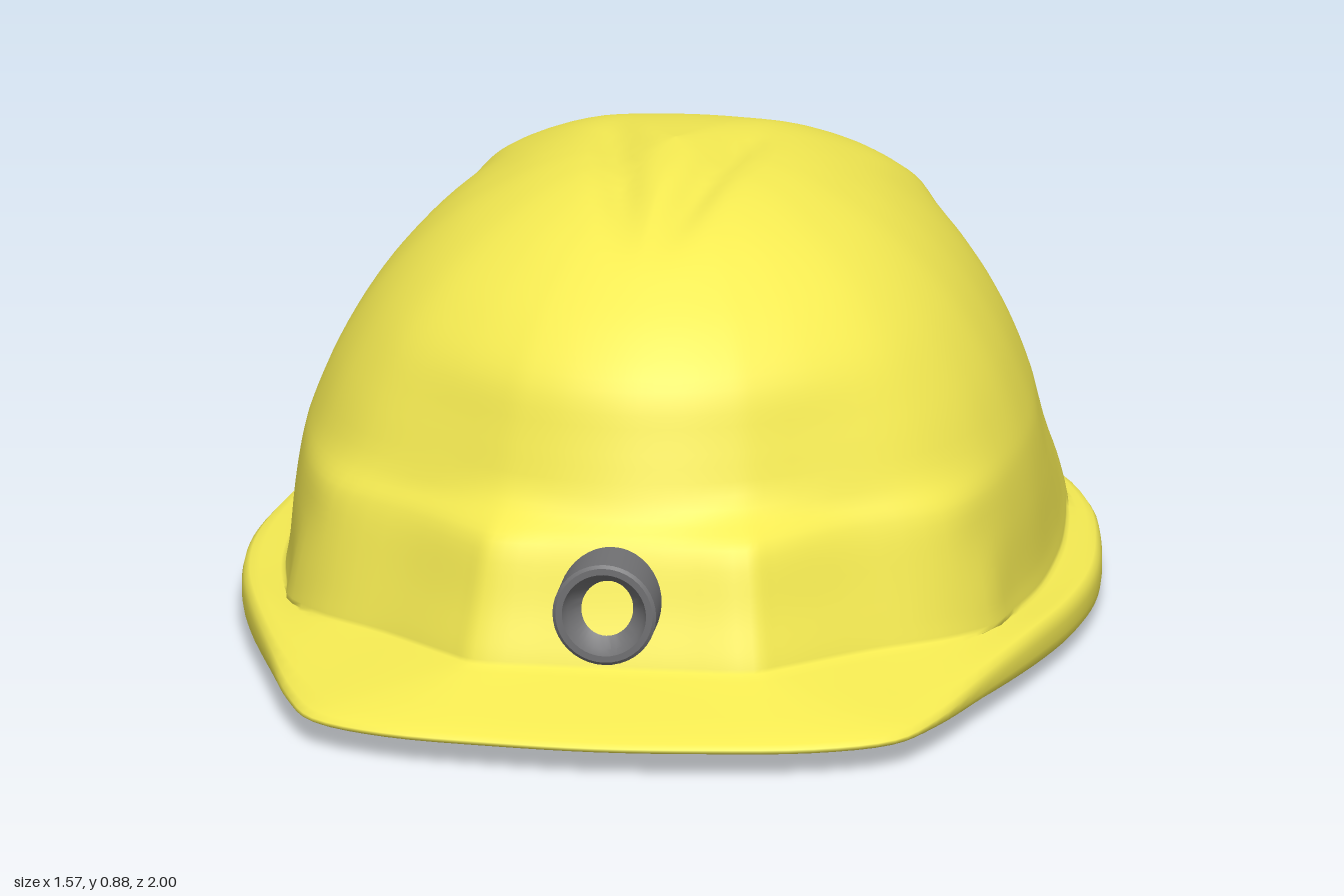
import * as THREE from 'three';
import { toCreasedNormals } from 'three/addons/utils/BufferGeometryUtils.js';

const { lerp, smoothstep } = THREE.MathUtils;
const SEG = 112; // points around each ring
const CZ = -0.15; // z of the crown's centre
const yellow = new THREE.MeshStandardMaterial({ color: 0xf4ea52, side: THREE.DoubleSide });
const grey = new THREE.MeshStandardMaterial({ color: 0x707072, side: THREE.DoubleSide });

// Half outlines [x, z] from the back centre round the left side to the front
const back = [[0, -0.95], [0.22, -0.93], [0.42, -0.885], [0.58, -0.75], [0.665, -0.55], [0.7, -0.3], [0.705, -0.12], [0.695, 0.06]];
const padOutline = [...back, [0.66, 0.25], [0.6, 0.41], [0.45, 0.55], [0.31, 0.69], [0.26, 0.73], [0.13, 0.738], [0, 0.74]];
const crownOutline = [...back, [0.65, 0.25], [0.57, 0.42], [0.43, 0.57], [0.3, 0.66], [0.24, 0.69], [0.13, 0.725], [0, 0.74]];
const brimOutline = [[0, -1], [0.25, -0.985], [0.44, -0.93], [0.61, -0.78], [0.72, -0.55], [0.77, -0.3], [0.785, -0.1],
  [0.77, 0.1], [0.73, 0.3], [0.66, 0.55], [0.6, 0.75], [0.54, 0.87], [0.4, 0.945], [0.2, 0.98], [0, 0.995]];

// Mirror a half outline and sample it as a closed smooth loop
function outline(half) {
  const other = half.slice(1, -1).reverse().map(([x, z]) => [-x, z]);
  const pts = [...half, ...other].map(([x, z]) => new THREE.Vector3(x, 0, z));
  const curve = new THREE.CatmullRomCurve3(pts, true, 'centripetal');
  return Array.from({ length: SEG }, (_, i) => curve.getPoint(i / SEG));
}
const pad = outline(padOutline), crown = outline(crownOutline), edge = outline(brimOutline);

// Skin a list of closed rings
function loft(rings) {
  const pos = rings.flat().flatMap((p) => [p.x, p.y, p.z]);
  const index = [];
  for (let r = 0; r < rings.length - 1; r++) {
    for (let i = 0; i < SEG; i++) {
      const a = r * SEG + i, b = r * SEG + (i + 1) % SEG;
      index.push(a, a + SEG, b, b, a + SEG, b + SEG);
    }
  }
  const g = new THREE.BufferGeometry();
  g.setAttribute('position', new THREE.Float32BufferAttribute(pos, 3));
  g.setIndex(index);
  g.computeVertexNormals();
  return g;
}

// Crown profiles: height, then reach at the sides or back, and at the front
const makeProfile = (rows) => new THREE.CatmullRomCurve3(rows.map((p) => new THREE.Vector3(...p)), false, 'centripetal');
const heights = [0.1, 0.14, 0.25, 0.34, 0.39, 0.5, 0.6, 0.68, 0.75, 0.8, 0.84, 0.868, 0.885];
const sideReach = [1, 0.99, 0.975, 0.955, 0.935, 0.87, 0.785, 0.69, 0.575, 0.46, 0.335, 0.18, 0];
const frontReach = [1, 0.985, 0.945, 0.905, 0.86, 0.81, 0.765, 0.685, 0.58, 0.48, 0.35, 0.2, 0];
const backReach = [1, 0.99, 0.965, 0.937, 0.92, 0.865, 0.795, 0.725, 0.615, 0.495, 0.36, 0.2, 0];
const sideFront = makeProfile(heights.map((h, i) => [h, sideReach[i], frontReach[i]]));
const sideBack = makeProfile(heights.map((h, i) => [h, sideReach[i], backReach[i]]));

const baseY = (z) => 0.1 + 0.03 * smoothstep(z, 0, 0.75);

function crownPoint(t, i, base) {
  const dir = Math.atan2(Math.abs(base[i].x), base[i].z - CZ);
  const { x: h, y: side, z: end } = (dir < Math.PI / 2 ? sideFront : sideBack).getPoint(t);
  const o = base[i].clone().lerp(crown[i], smoothstep(h, 0.33, 0.42));
  let s = lerp(end, side, smoothstep(Math.min(dir, Math.PI - dir), 0.45, 1.1));
  let y = h + (baseY(o.z) - 0.1) * (1 - smoothstep(h, 0.1, 0.25));
  const x = Math.abs(o.x * s), z = CZ + (o.z - CZ) * s;
  // raised band that fans out towards the back
  const fan = Math.min(0.42, 0.22 - 0.37 * z);
  const behind = smoothstep(-z, 0, 0.5) * smoothstep(h, 0.1, 0.35);
  s *= 1 - 0.035 * behind * smoothstep(x, fan - 0.04, fan + 0.04);
  // small buttresses above the brim
  const low = 1 - smoothstep(h, 0.13, 0.3);
  s *= 1 + 0.02 * low * (Math.exp(-(((z + 0.6) / 0.07) ** 2)) + Math.exp(-(((z - 0.3) / 0.07) ** 2)));
  // shallow grooves beside the central ridge, closing in towards the front
  const groove = 0.09 - 0.17 * (z + 0.05);
  const along = smoothstep(z, -0.45, -0.1) * (1 - smoothstep(z, 0.05, 0.35));
  y -= 0.022 * along * Math.exp(-(((x - groove) / 0.04) ** 2));
  return new THREE.Vector3(o.x * s, y, CZ + (o.z - CZ) * s);
}

function crownRings(count, base) {
  return Array.from({ length: count + 1 }, (_, r) =>
    Array.from({ length: SEG }, (_, i) => crownPoint(r / count, i, base)));
}

// Brim section: f runs from the crown (0) to the outer edge (1), v from underside (0) to top (1)
function brimRing([f, v]) {
  return edge.map((e, i) => {
    const p = pad[i].clone().lerp(e, f);
    const peak = smoothstep(e.z, 0.2, 0.95);
    const rim = lerp(0.1 + 0.018 * e.z, 0.064, peak);
    const top = lerp(baseY(pad[i].z), rim, f);
    const bottom = lerp(0.005 + 0.02 * (e.z + 1), top - 0.025, Math.max(0, 1 - f / 0.75));
    p.y = lerp(bottom, top, v);
    return p;
  });
}

export function createModel() {
  const group = new THREE.Group();
  const add = (name, geometry, material) => {
    const mesh = new THREE.Mesh(geometry, material);
    mesh.name = name;
    group.add(mesh);
  };

  // Inside of the crown, without the front pad
  const inside = crownRings(36, crown).reverse();
  inside.flat().forEach((p) => {
    const s = lerp(0.972, 0.95, smoothstep(p.z, 0.2, 0.6));
    p.set(p.x * s, p.y * 0.975, CZ + (p.z - CZ) * s);
  });

  // One skin: inside of the crown, under the rolled brim, round its edge and up over the crown
  const brim = [[0.05, 0], [0.4, 0], [0.75, 0], [0.88, 0.03], [0.97, 0.15], [1, 0.35], [1, 0.65],
    [0.95, 0.88], [0.82, 1], [0.6, 1], [0.35, 0.97], [0.1, 0.97]];
  add('helmetShell', loft([...inside, ...brim.map(brimRing), ...crownRings(56, pad)]), yellow);

  // Open lamp tube, its back end sloped to sit on the front pad
  const tube = [[0.085, 0], [0.096, 0], [0.096, 0.113], [0.09, 0.118], [0.078, 0.118], [0.07, 0.1], [0.048, 0.04], [0.085, 0]]
    .map(([r, y]) => new THREE.Vector2(r, y));
  const lamp = new THREE.LatheGeometry(tube, 40).rotateX(Math.PI / 2);
  const p = lamp.attributes.position;
  for (let i = 0; i < p.count; i++) {
    if (p.getZ(i) < 0.05) p.setZ(i, p.getZ(i) + 0.03 - 0.33 * p.getY(i));
  }
  lamp.translate(-0.012, 0.245, 0.657);
  add('lamp', toCreasedNormals(lamp, 0.6), grey);

  return group;
}
